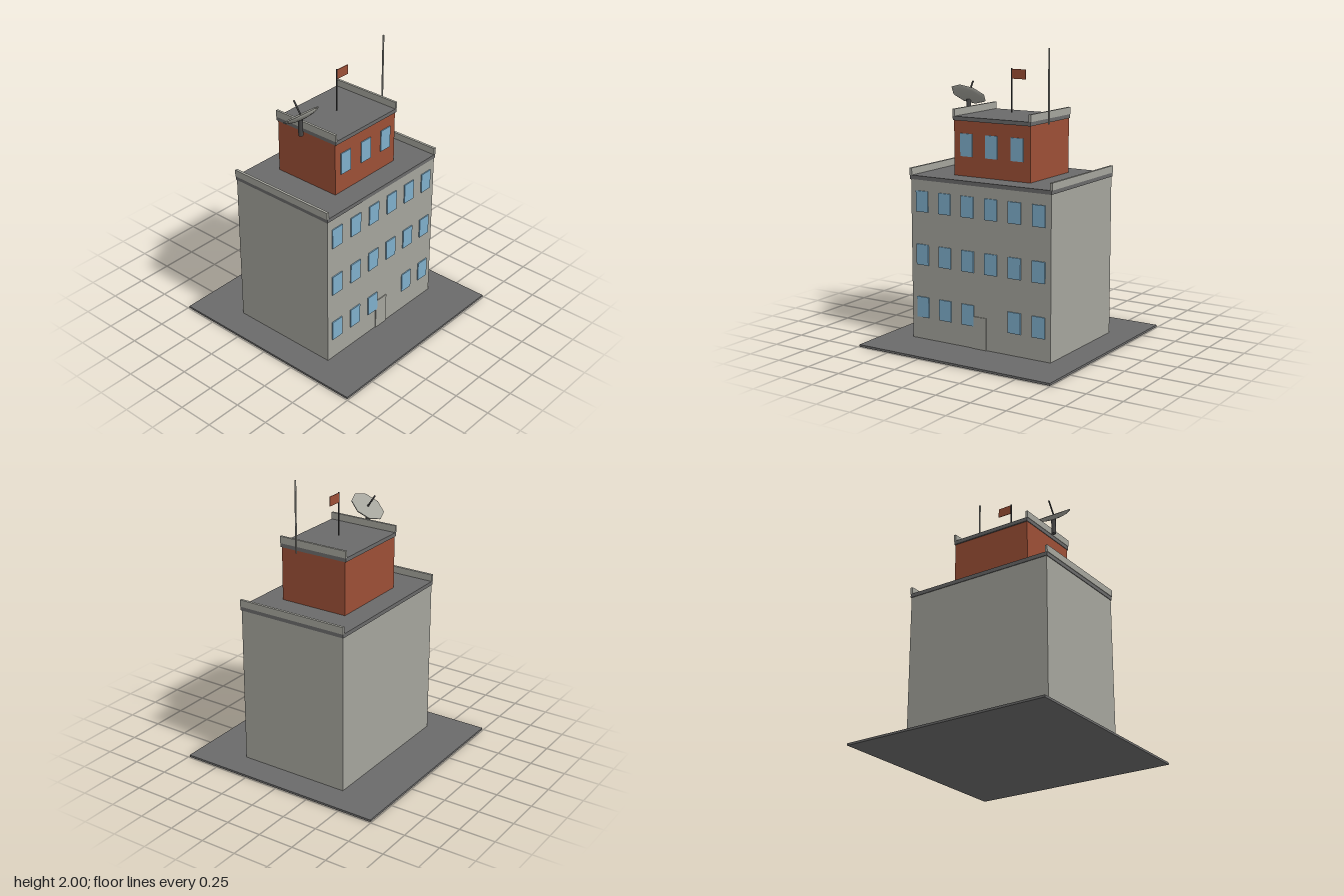
import * as THREE from 'three';

const mat = (name, color) => {
  const m = new THREE.MeshStandardMaterial({ color });
  m.name = name;
  return m;
};

export function createModel() {
  const model = new THREE.Group();
  const concrete = mat('light concrete', 0xa4a49c);
  const asphalt = mat('dark asphalt', 0x6a6a6a);
  const brick = mat('red brick', 0x9c4f36);
  const glass = mat('blue glass', 0x7eaecb);
  const metal = mat('dark metal', 0x484848);

  const add = (name, geometry, material, x, y, z, parent = model) => {
    const mesh = new THREE.Mesh(geometry, material);
    mesh.name = name;
    mesh.position.set(x, y, z);
    parent.add(mesh);
    return mesh;
  };
  // Box given by its width, depth and bottom and top heights
  const block = (name, material, w, d, y0, y1, x = 0, z = 0) =>
    add(name, new THREE.BoxGeometry(w, y1 - y0, d), material, x, (y0 + y1) / 2, z);
  // Upright round pole
  const pole = (name, material, r, y0, y1, x, z) =>
    add(name, new THREE.CylinderGeometry(r, r, y1 - y0, 8), material, x, (y0 + y1) / 2, z);

  // Ground and the two storeys blocks
  block('ground', asphalt, 1.485, 1.485, 0, 0.015);
  block('mainBlock', concrete, 1.09, 0.8, 0.015, 1.113);
  block('mainRoof', asphalt, 1.1, 0.81, 1.113, 1.14);
  block('upperBlock', brick, 0.594, 0.495, 1.14, 1.51);
  block('upperRoof', asphalt, 0.604, 0.513, 1.51, 1.537);

  // Parapets on the left and right roof edges
  for (const side of [-1, 1]) {
    block('mainParapet', concrete, 0.018, 0.81, 1.14, 1.188, side * 0.545);
    block('upperParapet', concrete, 0.016, 0.513, 1.537, 1.585, side * 0.297);
  }

  // Main windows, leaving a gap beside the door
  for (let row = 0; row < 3; row++) {
    for (let col = 0; col < 6; col++) {
      if (row === 0 && col === 3) continue;
      const y = 0.238 + row * 0.365;
      block('window', glass, 0.096, 0.009, y - 0.071, y + 0.071, (col - 2.5) * 0.182, 0.4035);
    }
  }

  // Upper windows
  for (const i of [-1, 0, 1]) block('upperWindow', glass, 0.094, 0.009, 1.273, 1.426, i * 0.198, 0.25);

  block('door', concrete, 0.11, 0.008, 0.015, 0.235, 0, 0.4025);

  // Antenna mast, flagpole and flag
  pole('antennaMast', concrete, 0.006, 1.51, 2, 0.345, 0.098);
  pole('flagpole', metal, 0.005, 1.553, 1.85, 0, 0);
  block('flag', brick, 0.107, 0.005, 1.78, 1.845, 0.0535);

  // Satellite dish: flat eight-sided face over a shallow curved back
  pole('dishPost', metal, 0.016, 1.51, 1.625, -0.348, 0);
  const dish = new THREE.Group();
  dish.name = 'satelliteDish';
  dish.position.set(-0.348, 1.66, 0);
  dish.rotation.x = -0.6;
  model.add(dish);
  const profile = [];
  for (let i = 0; i <= 6; i++) {
    const a = (i / 6) * Math.PI / 2;
    profile.push(new THREE.Vector2(0.126 * Math.sin(a), -0.034 * Math.cos(a)));
  }
  add('dishBack', new THREE.LatheGeometry(profile, 8), concrete, 0, 0, 0, dish);
  const face = new THREE.CircleGeometry(0.126, 8).rotateX(-Math.PI / 2);
  add('dishFace', face, concrete, 0, 0, 0, dish);
  add('dishFeed', new THREE.CylinderGeometry(0.006, 0.006, 0.1, 8), metal, 0, 0.05, 0, dish);

  return model;
}
